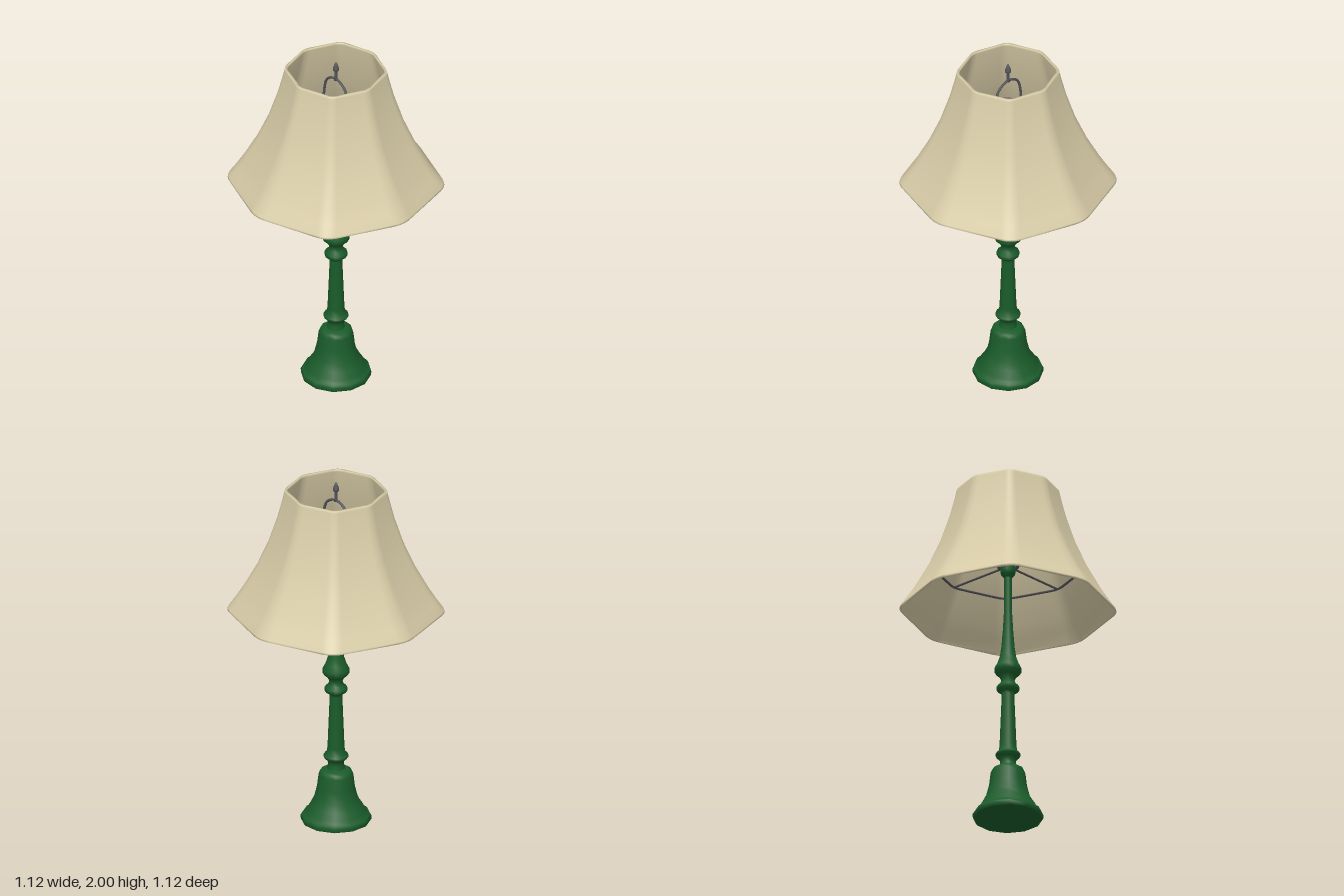
import * as THREE from 'three';

const mat = (color, side = THREE.FrontSide) => new THREE.MeshStandardMaterial({ color, side });
const vec2 = (pairs) => pairs.map(([x, y]) => new THREE.Vector2(x, y));

// Unit eight-sided outline with softly rounded corners
function octagonOutline() {
  const corners = [];
  for (let i = 0; i < 8; i++) {
    const a = (i * Math.PI) / 4, r = i % 2 ? 1.07 : 1.02;
    corners.push(new THREE.Vector2(Math.cos(a) * r, Math.sin(a) * r));
  }
  const pts = [];
  corners.forEach((c, i) => {
    const from = c.clone().lerp(corners[(i + 7) % 8], 0.14);
    const to = c.clone().lerp(corners[(i + 1) % 8], 0.14);
    pts.push(...new THREE.QuadraticBezierCurve(from, c, to).getPoints(5));
  });
  return pts;
}

// Sweeps the outline through a closed [radius, height] profile
function loftClosed(outline, profile) {
  const n = outline.length, m = profile.length, pos = [], idx = [];
  for (const [r, y] of profile) for (const p of outline) pos.push(p.x * r, y, p.y * r);
  for (let j = 0; j < m; j++) for (let i = 0; i < n; i++) {
    const k = (j + 1) % m, l = (i + 1) % n;
    const a = j * n + i, b = k * n + i, c = k * n + l, d = j * n + l;
    idx.push(a, b, d, b, c, d);
  }
  const g = new THREE.BufferGeometry();
  g.setAttribute('position', new THREE.Float32BufferAttribute(pos, 3));
  g.setIndex(idx);
  g.computeVertexNormals();
  return g;
}

export function createModel() {
  const model = new THREE.Group();
  const green = mat(0x1a5c2a), metal = mat(0x55555a);
  const cream = mat(0xd9cda8, THREE.DoubleSide), glass = mat(0xb0b0d0);
  const add = (name, geometry, material, parent = model) => {
    const mesh = new THREE.Mesh(geometry, material);
    mesh.name = name;
    parent.add(mesh);
    return mesh;
  };
  const turned = (pairs, sides) => new THREE.LatheGeometry(vec2(pairs), sides, Math.PI / sides);

  // Turned foot and column
  add('base', turned([
    [0, 0], [0.18, 0], [0.19, 0.003], [0.191, 0.025], [0.184, 0.036], [0.17, 0.042],
    [0.163, 0.06], [0.14, 0.095], [0.117, 0.14], [0.102, 0.2], [0.094, 0.27],
    [0.086, 0.29], [0.07, 0.3], [0.047, 0.305],
  ], 12), green);
  add('column', turned([
    [0.05, 0.3], [0.044, 0.325], [0.044, 0.345], [0.055, 0.36], [0.068, 0.373],
    [0.068, 0.384], [0.052, 0.397], [0.046, 0.43], [0.034, 0.735], [0.042, 0.75],
    [0.061, 0.763], [0.061, 0.785], [0.042, 0.8], [0.036, 0.825], [0.052, 0.85],
    [0.073, 0.87], [0.073, 0.896], [0.057, 0.925], [0.044, 0.965], [0.036, 1.02],
    [0.028, 1.12], [0.022, 1.23], [0.021, 1.45],
  ], 12), green);

  // Socket and bulb
  add('socket', turned([
    [0.021, 1.43], [0.038, 1.45], [0.042, 1.47], [0.042, 1.54], [0.036, 1.55], [0, 1.55],
  ], 16), green);
  add('bulb', turned([
    [0.028, 1.54], [0.03, 1.58], [0.045, 1.62], [0.058, 1.66], [0.06, 1.69],
    [0.052, 1.725], [0.03, 1.747], [0, 1.755],
  ], 16), glass);

  // Flared eight-panel shade with a thin wall
  const outline = octagonOutline();
  const outer = [[0.552, 1.236], [0.56, 1.24], [0.557, 1.25], [0.52, 1.305], [0.48, 1.37],
    [0.41, 1.5], [0.35, 1.64], [0.302, 1.79], [0.277, 1.89], [0.266, 1.94], [0.264, 1.952]];
  const inner = outer.slice(1).reverse().map(([r, y]) => [r - 0.013, y]);
  add('shade', loftClosed(outline, [...outer, ...inner]), cream);

  // Wire frame inside the shade: ring, hub and four spokes
  const frame = new THREE.Group();
  frame.name = 'shadeFrame';
  frame.position.y = 1.5;
  model.add(frame);
  const ring = new THREE.CatmullRomCurve3(
    outline.map((p) => new THREE.Vector3(p.x * 0.393, 0, p.y * 0.393)), true);
  add('frameRing', new THREE.TubeGeometry(ring, 96, 0.007, 6, true), metal, frame);
  add('frameHub', new THREE.TorusGeometry(0.052, 0.009, 8, 24).rotateX(Math.PI / 2), metal, frame);
  for (let i = 0; i < 4; i++) {
    const spoke = new THREE.CylinderGeometry(0.006, 0.006, 0.345, 8)
      .rotateZ(Math.PI / 2).translate(0.2225, 0, 0).rotateY((i * Math.PI) / 2);
    add('frameSpoke', spoke, metal, frame);
  }

  // Harp arching over the bulb
  const half = [[0.045, 1.48], [0.085, 1.55], [0.1, 1.66], [0.098, 1.78], [0.072, 1.86]];
  const path = [
    ...half.map(([x, y]) => new THREE.Vector3(-x, y, 0)),
    new THREE.Vector3(0, 1.893, 0),
    ...half.map(([x, y]) => new THREE.Vector3(x, y, 0)).reverse(),
  ];
  add('harp', new THREE.TubeGeometry(new THREE.CatmullRomCurve3(path), 64, 0.007, 8), metal);

  // Finial on its stem
  add('finial', turned([
    [0, 1.885], [0.012, 1.887], [0.008, 1.9], [0.008, 1.942], [0.017, 1.95],
    [0.017, 1.96], [0.011, 1.98], [0.005, 1.996], [0, 2],
  ], 12), metal);

  return model;
}
